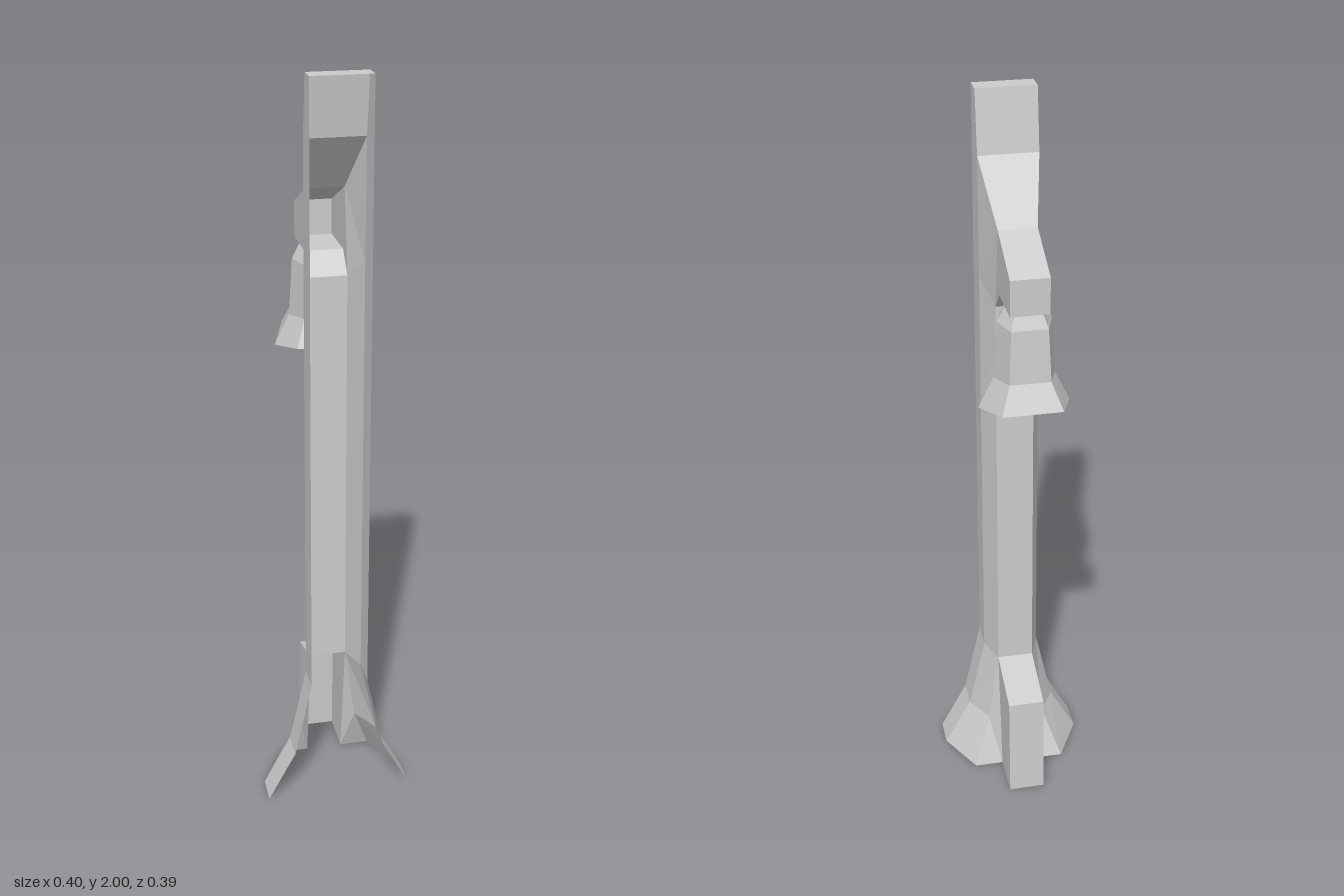
import * as THREE from 'three';

const stone = new THREE.MeshStandardMaterial({ color: 0xcccccc, flatShading: true, side: THREE.DoubleSide });
stone.name = 'pale grey';

// Flat-shaded mesh from polygons, each a short fan of [x, y, z] points
function faces(name, polygons) {
  const pos = [];
  for (const p of polygons)
    for (let i = 1; i < p.length - 1; i++) pos.push(...p[0], ...p[i], ...p[i + 1]);
  const geo = new THREE.BufferGeometry();
  geo.setAttribute('position', new THREE.Float32BufferAttribute(pos, 3));
  geo.computeVertexNormals();
  const mesh = new THREE.Mesh(geo, stone);
  mesh.name = name;
  return mesh;
}

const mirror = ([x, y, z]) => [-x, y, z];
const mirrored = (polys) => [...polys, ...polys.map((p) => p.map(mirror).reverse())];

// Quads between successive open rows of points
function loft(rows) {
  const out = [];
  for (let r = 0; r < rows.length - 1; r++)
    for (let i = 0; i < rows[r].length - 1; i++)
      out.push([rows[r][i], rows[r][i + 1], rows[r + 1][i + 1], rows[r + 1][i]]);
  return out;
}

export function createModel() {
  const group = new THREE.Group();
  group.name = 'lanternPost';

  // Sides of the post, from flared roots to the neck: open edge, middle, inner corner
  const rows = [
    [[0.2, 0, 0.195], [0.2, 0, 0.115], [0.13, 0, -0.014]],
    [[0.125, 0.14, 0.195], [0.125, 0.14, 0.115], [0.08, 0.14, 0.037]],
    [[0.078, 0.355, 0.195], [0.078, 0.355, 0.115], [0.05, 0.355, 0.04]],
    [[0.078, 1.525, 0.195], [0.078, 1.525, 0.115], [0.05, 1.47, 0.04]],
    [[0.078, 1.84, 0.195], [0.078, 1.84, 0.118], [0.05, 1.69, 0.002]],
  ];
  const tip = [[0.078, 2, 0.195], [0.078, 2, 0.142]];
  const sides = [...loft(rows), ...loft([rows[4].slice(0, 2), tip])];
  group.add(faces('postSides', mirrored(sides)));

  // Inner cheeks joining the roots to the foot block
  group.add(faces('rootCheeks', mirrored([
    [[0.05, 0.355, 0.04], [0.08, 0.14, 0.037], [0.05, 0, -0.014]],
    [[0.08, 0.14, 0.037], [0.13, 0, -0.014], [0.05, 0, -0.014]],
  ])));

  // Continuous ribbon: cap, neck, arm, post face and foot block
  const spine = [
    [0.078, 2, 0.195], [0.078, 2, 0.142], [0.078, 1.84, 0.118], [0.05, 1.69, 0.002],
    [0.05, 1.62, -0.15], [0.05, 1.525, -0.15], [0.05, 1.525, -0.012], [0.05, 1.47, 0.04],
    [0.05, 0.355, 0.04], [0.05, 0.303, -0.122], [0.05, 0, -0.135],
  ];
  group.add(faces('postFace', loft(spine.map((p) => [mirror(p), p]))));

  // Flat sides of the arm and the foot block
  group.add(faces('armSides', mirrored([[spine[6], spine[5], spine[4], spine[3]], [spine[7], spine[6], spine[3]]])));
  group.add(faces('footSides', mirrored([[[0.05, 0, -0.014], spine[10], spine[9], spine[8]]])));

  // Six-sided lantern: [y, side y, side x, corner x, corner z]
  const rings = [
    [1.23, 1.23, 0, 0, 0],
    [1.277, 1.252, 0.118, 0.078, 0.112],
    [1.345, 1.335, 0.079, 0.053, 0.076],
    [1.485, 1.485, 0.07, 0.047, 0.067],
    [1.525, 1.525, 0.05, 0.034, 0.05],
  ].map(([y, sy, sx, cx, cz]) => {
    const ring = [[sx, sy, 0], [cx, y, -cz], [-cx, y, -cz], [-sx, sy, 0], [-cx, y, cz], [cx, y, cz]];
    return [...ring, ring[0]];
  });
  const lantern = faces('lantern', [...loft(rings), rings[4].slice(0, 6)]);
  lantern.position.z = -0.082;
  group.add(lantern);

  return group;
}
